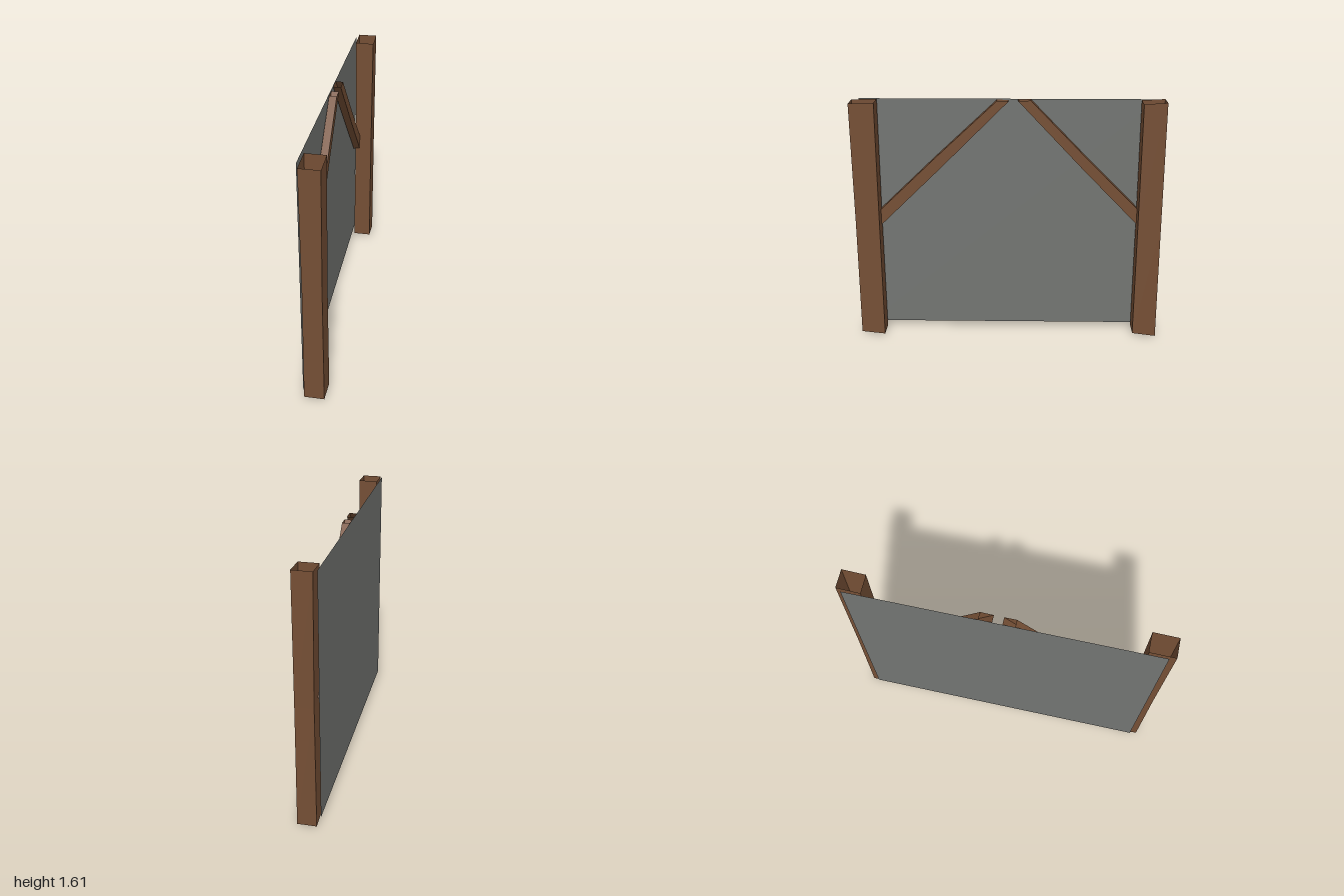
import * as THREE from 'three';

// Open-ended four-sided beam skinned through rings of four corners
function beam(name, rings, material) {
  const pos = [];
  for (let r = 0; r < rings.length - 1; r++) {
    const a = rings[r], b = rings[r + 1];
    for (let i = 0; i < 4; i++) {
      const j = (i + 1) % 4;
      pos.push(...a[i], ...a[j], ...b[j], ...a[i], ...b[j], ...b[i]);
    }
  }
  const geo = new THREE.BufferGeometry();
  geo.setAttribute('position', new THREE.Float32BufferAttribute(pos, 3));
  geo.computeVertexNormals();
  const mesh = new THREE.Mesh(geo, material);
  mesh.name = name;
  return mesh;
}

// Post ring: x range, z range, and the heights at the +z and -z edges
function postRing(x0, x1, zFront, zBack, yFront, yBack) {
  return [[x1, yFront, zFront], [x1, yBack, zBack], [x0, yBack, zBack], [x0, yFront, zFront]];
}

// Brace rings from [upper z, upper y, lower z, lower y] sections
function braceRings(xa, xb, sections) {
  return sections.map(([uz, uy, lz, ly]) => [[xa, uy, uz], [xa, ly, lz], [xb, ly, lz], [xb, uy, uz]]);
}

export function createModel() {
  const wood = new THREE.MeshStandardMaterial({ color: 0x754f35, flatShading: true, side: THREE.DoubleSide });
  wood.name = 'brown wood';
  const plaster = new THREE.MeshStandardMaterial({ color: 0x737572, flatShading: true, side: THREE.DoubleSide });
  plaster.name = 'grey plaster';

  const group = new THREE.Group();
  group.name = 'timberWall';

  // Slightly crooked hollow posts
  group.add(beam('frontPost', [
    postRing(-0.055, 0.07, 1.0, 0.845, 0.02, 0.003),
    postRing(-0.05, 0.066, 0.997, 0.843, 0.8, 0.8),
    postRing(-0.054, 0.07, 0.998, 0.838, 1.6, 1.605),
  ], wood));
  group.add(beam('backPost', [
    postRing(-0.055, 0.065, -0.845, -1.0, 0.02, 0.0),
    postRing(-0.05, 0.064, -0.843, -0.993, 0.8, 0.8),
    postRing(-0.054, 0.066, -0.84, -0.987, 1.602, 1.61),
  ], wood));

  // Diagonal braces with a slight bend
  group.add(beam('frontBrace', braceRings(-0.02, -0.067, [
    [0.9, 0.818, 0.845, 0.765],
    [0.48, 1.222, 0.435, 1.165],
    [0.075, 1.6, 0.0, 1.598],
  ]), wood));
  group.add(beam('backBrace', braceRings(-0.067, -0.02, [
    [-0.908, 0.822, -0.855, 0.77],
    [-0.495, 1.237, -0.485, 1.15],
    [-0.14, 1.604, -0.06, 1.6],
  ]), wood));

  // Wall panel behind the braces
  const panel = new THREE.Mesh(new THREE.PlaneGeometry(1.91, 1.57), plaster);
  panel.name = 'wallPanel';
  panel.rotation.y = Math.PI / 2;
  panel.position.set(-0.07, 0.82, 0);
  group.add(panel);

  return group;
}
